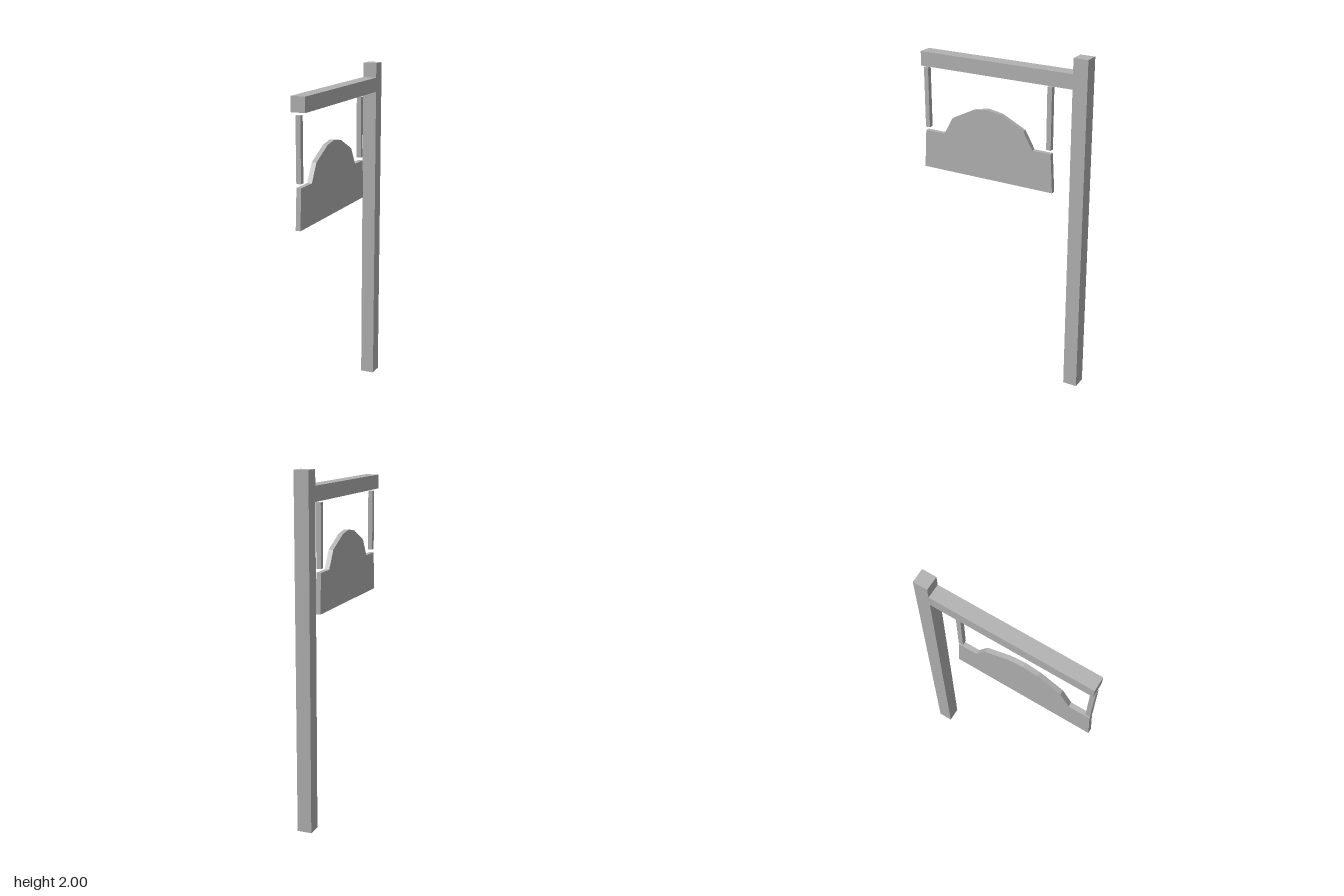
import * as THREE from 'three';

export function createModel() {
  const model = new THREE.Group();
  const grey = new THREE.MeshStandardMaterial({ color: 0xb2b2b2 });
  grey.name = 'grey';

  const add = (name, geometry) => {
    const mesh = new THREE.Mesh(geometry, grey);
    mesh.name = name;
    model.add(mesh);
    return mesh;
  };

  // Box centred on x, given by its y and z ranges
  const bar = (name, width, y0, y1, z0, z1) =>
    add(name, new THREE.BoxGeometry(width, y1 - y0, z1 - z0))
      .position.set(0, (y0 + y1) / 2, (z0 + z1) / 2);

  // Upright post and the arm reaching forward from it
  bar('post', 0.084, 0, 2, -0.528, -0.443);
  bar('arm', 0.084, 1.831, 1.915, -0.443, 0.514);

  // Two hangers between arm and board
  bar('frontHanger', 0.028, 1.456, 1.816, 0.487, 0.515);
  bar('rearHanger', 0.028, 1.456, 1.816, -0.309, -0.281);

  // Hanging board with an arched top; outline is (z, y)
  const outline = [
    [-0.323, 1.205], [0.529, 1.205], [0.514, 1.435], [0.386, 1.435],
    [0.328, 1.538], [0.185, 1.61], [0.097, 1.625], [0.008, 1.61],
    [-0.137, 1.538], [-0.195, 1.435], [-0.309, 1.435],
  ];
  const thickness = 0.028;
  const board = new THREE.ExtrudeGeometry(
    new THREE.Shape(outline.map(([z, y]) => new THREE.Vector2(z, y))),
    { depth: thickness, bevelEnabled: false },
  );
  board.translate(0, 0, -thickness / 2).rotateY(-Math.PI / 2);
  add('signBoard', board);

  return model;
}
